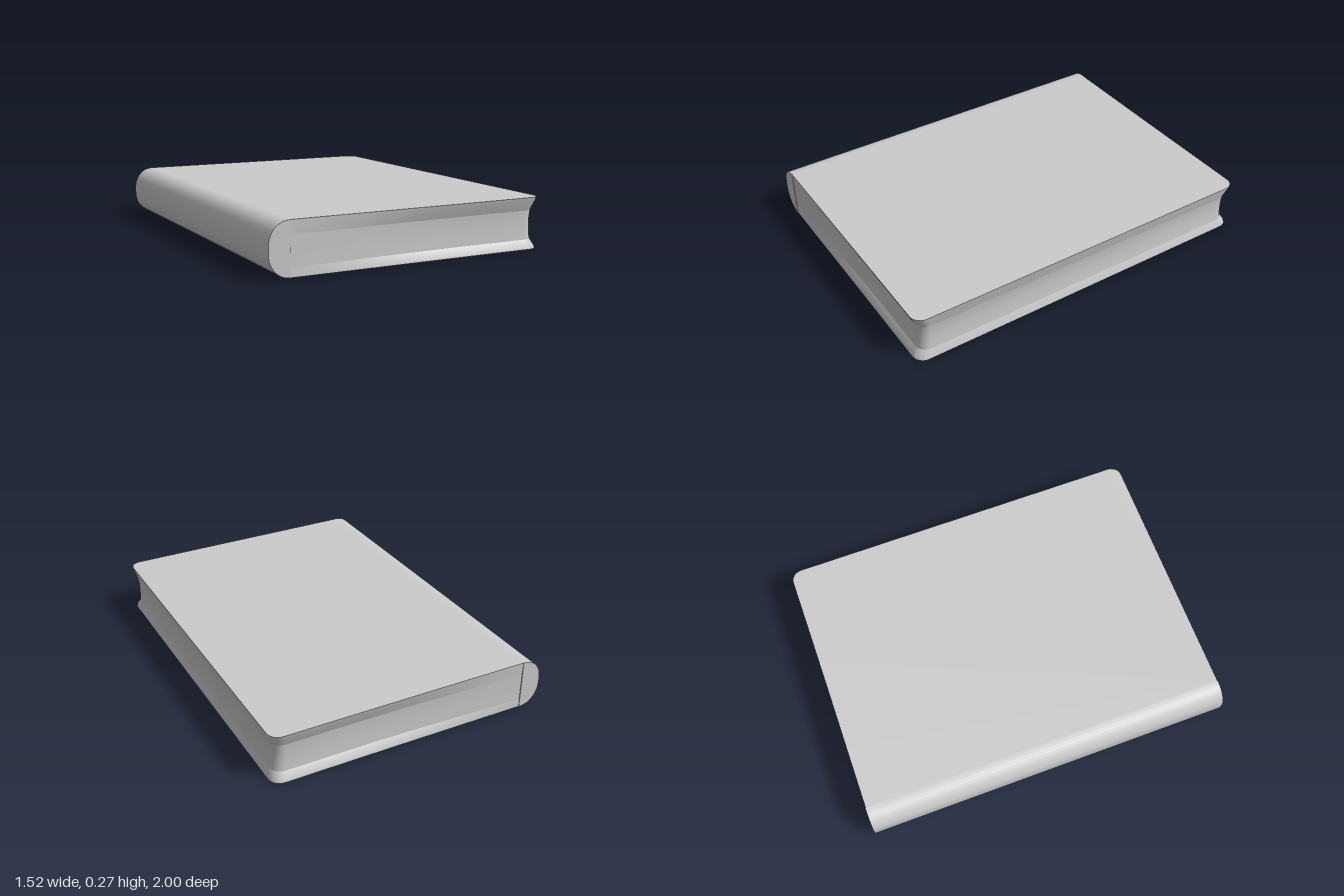
import * as THREE from 'three';
import { toCreasedNormals } from 'three/addons/utils/BufferGeometryUtils.js';

const SPINE_X = -0.65, FORE_X = 0.758, HALF_Z = 0.998, TOP = 0.27, BASE = 0.003;

// U-shaped outline from the spine round the fore edge and back, at height y.
// dx insets the fore edge; dz insets the head and tail, growing away from the spine.
function outline(y, dx, dz) {
  const right = FORE_X - dx, r = 0.06, half = [];
  const zAt = x => HALF_Z - dz * THREE.MathUtils.smoothstep(x, SPINE_X - 0.2, 0.3);
  for (let i = 0; i <= 8; i++) {
    const x = THREE.MathUtils.lerp(SPINE_X, right - r, i / 8);
    half.push([x, y, zAt(x)]);
  }
  const zc = zAt(right - r) - r;
  for (let i = 1; i <= 6; i++) {
    const a = (i / 6) * Math.PI / 2;
    half.push([right - r + r * Math.sin(a), y, zc + r * Math.cos(a)]);
  }
  return [...half, ...half.map(([x, h, z]) => [x, h, -z]).reverse()];
}

// Skin outlines from bottom to top, with optional flat caps.
function loft(levels, capBottom, capTop) {
  const rings = levels.map(l => outline(...l));
  const n = rings[0].length, index = [];
  for (let k = 0; k < rings.length - 1; k++) {
    for (let j = 0; j < n - 1; j++) {
      const a = k * n + j, b = a + 1, c = a + n, d = c + 1;
      index.push(a, b, d, a, d, c);
    }
  }
  const last = (rings.length - 1) * n;
  for (let j = 1; j < n - 1; j++) {
    if (capBottom) index.push(0, j + 1, j);
    if (capTop) index.push(last, last + j, last + j + 1);
  }
  const geo = new THREE.BufferGeometry();
  geo.setAttribute('position', new THREE.Float32BufferAttribute(rings.flat(2), 3));
  geo.setIndex(index);
  geo.computeVertexNormals();
  return toCreasedNormals(geo, 0.5);
}

export function createModel() {
  const book = new THREE.Group();
  book.name = 'book';
  const material = new THREE.MeshStandardMaterial({ color: 0xcccccc, side: THREE.DoubleSide });
  const add = (name, geo) => {
    const mesh = new THREE.Mesh(geo, material);
    mesh.name = name;
    book.add(mesh);
    return mesh;
  };

  // Covers with flared lips, and the recessed, hollowed page block
  add('lowerCover', loft([[BASE, 0.002, 0.004], [0.015, 0.004, 0.006], [0.05, 0.017, 0.03]], true, false));
  add('pageBlock', loft([[0.05, 0.017, 0.03], [0.09, 0.021, 0.032], [0.13, 0.022, 0.033],
    [0.17, 0.021, 0.032], [0.2, 0.017, 0.03]], false, false));
  add('upperCover', loft([[0.2, 0.017, 0.03], [0.255, 0.003, 0.008], [TOP, 0, 0.004]], false, true));

  // Rounded spine running the full height of the book
  const s = new THREE.Shape();
  s.moveTo(SPINE_X, BASE);
  s.lineTo(SPINE_X, TOP);
  s.bezierCurveTo(-0.7, TOP, -0.74, 0.245, -0.758, 0.185);
  s.quadraticCurveTo(-0.765, 0.137, -0.758, 0.088);
  s.bezierCurveTo(-0.74, 0.03, -0.7, BASE, SPINE_X, BASE);
  const spineGeo = new THREE.ExtrudeGeometry(s, { depth: 2, bevelEnabled: false, curveSegments: 8 });
  spineGeo.translate(0, 0, -1);
  add('spine', toCreasedNormals(spineGeo, 0.6));

  return book;
}
